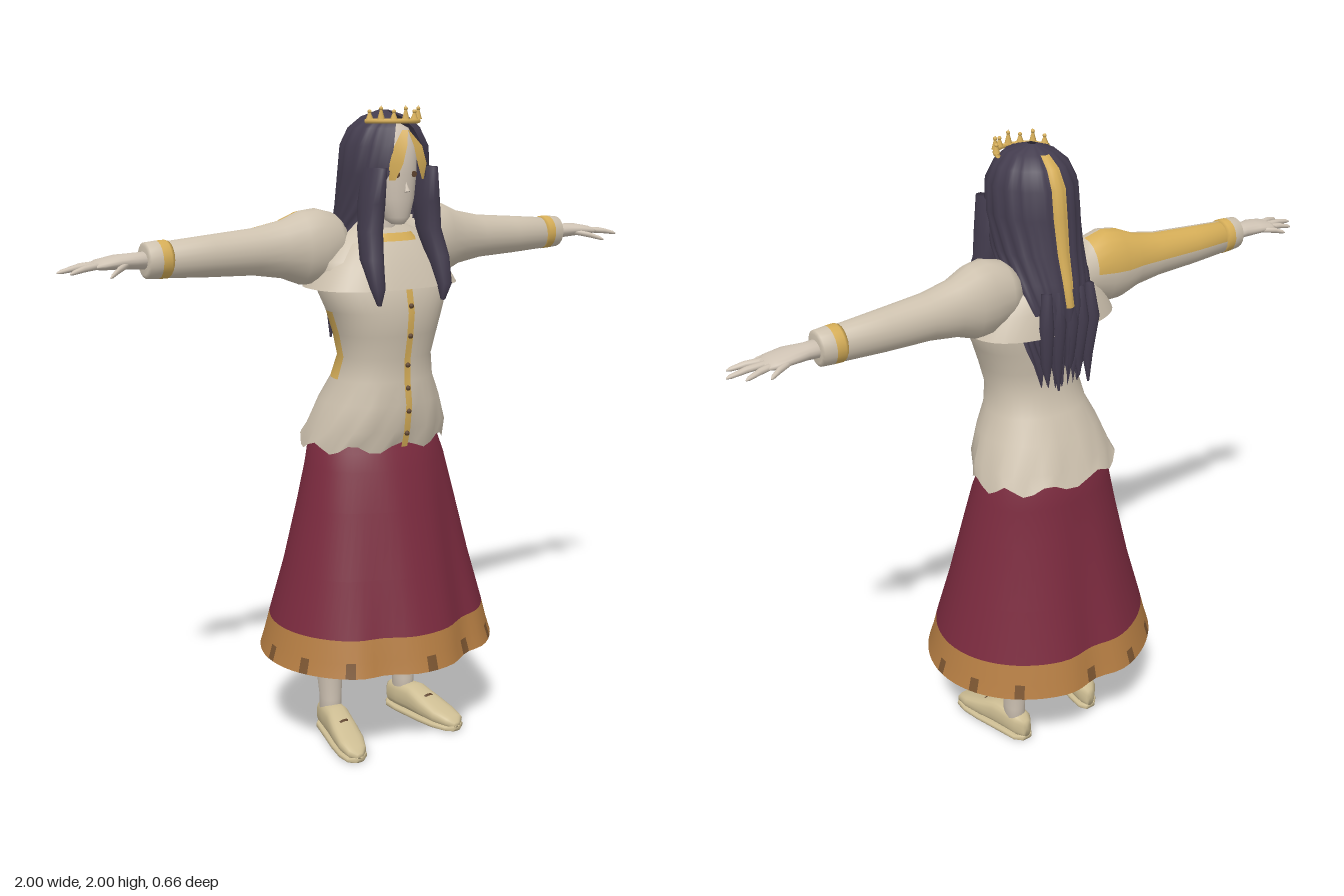
import * as THREE from 'three';

const mat = (name, color, side = THREE.FrontSide) => {
  const m = new THREE.MeshStandardMaterial({ color, side });
  m.name = name;
  return m;
};
const D = THREE.DoubleSide;

export function createModel() {
  const cream = mat('cream cloth', 0xcdc1ae, D), skin = mat('skin', 0xcfc3b4);
  const gold = mat('gold', 0xd6ae58, D), maroon = mat('maroon', 0x7a2a3e, D);
  const ochre = mat('ochre hem', 0xb37c42, D), umber = mat('dark hem', 0x7a5430, D);
  const hairMat = mat('dark hair', 0x433c4e, D), shoeMat = mat('shoe leather', 0xcdbd93);
  const brown = mat('brown', 0x5f452f, D);
  const model = new THREE.Group();
  const put = (name, geo, m, x = 0, y = 0, z = 0) => {
    const o = new THREE.Mesh(geo, m);
    o.name = name;
    o.position.set(x, y, z);
    model.add(o);
    return o;
  };

  // Skins a stack of rings; pick(row, column) chooses the material of a face
  function loft(name, rows, mats, { closed = true, cap = true, flip = false, pick = () => 0 } = {}) {
    mats = [mats].flat();
    const n = rows[0].length, pos = [], faces = mats.map(() => []);
    rows.forEach(r => r.forEach(p => pos.push(...p)));
    const tri = (k, a, b, c) => faces[k].push(a, ...(flip ? [c, b] : [b, c]));
    for (let i = 0; i < rows.length - 1; i++)
      for (let j = 0; j < (closed ? n : n - 1); j++) {
        const a = i * n + j, b = i * n + (j + 1) % n, k = pick(i, j);
        tri(k, a, a + n, b);
        tri(k, b, a + n, b + n);
      }
    if (closed && cap) [0, rows.length - 1].forEach((i, end) => {
      const c = pos.length / 3;
      pos.push(...[0, 1, 2].map(d => rows[i].reduce((s, p) => s + p[d], 0) / n));
      for (let j = 0; j < n; j++) {
        const a = i * n + j, b = i * n + (j + 1) % n;
        end ? tri(0, a, c, b) : tri(0, a, b, c);
      }
    });
    const g = new THREE.BufferGeometry();
    g.setAttribute('position', new THREE.Float32BufferAttribute(pos, 3));
    g.setIndex(faces.flat());
    let start = 0;
    faces.forEach((f, k) => { g.addGroup(start, f.length, k); start += f.length; });
    g.computeVertexNormals();
    return put(name, g, mats.length > 1 ? mats : mats[0]);
  }
  const ring = (n, f) => Array.from({ length: n }, (_, j) => f(j / n * Math.PI * 2));
  const soft = (v, e) => Math.sign(v) * Math.abs(v) ** e;
  // Horizontal ring spanning zb..zf, and rings across x and z
  const ringY = ([y, rx, zf, zb, cx = 0], n = 32, e = 0.9) => ring(n, a =>
    [cx + rx * soft(Math.cos(a), e), y, (zf + zb) / 2 + (zf - zb) / 2 * soft(Math.sin(a), e)]);
  const ringX = (s, [x, cy, cz, ry, rz], n = 20) => ring(n, a =>
    [s * x, cy + ry * Math.sin(a), cz + rz * Math.cos(a)]);

  // Jacket with a ragged hem and a gold patch on the right waist
  const jacket = [[0.985, 0.235, 0.14, -0.205], [1.04, 0.222, 0.155, -0.185], [1.12, 0.192, 0.165, -0.155],
    [1.19, 0.16, 0.155, -0.115], [1.26, 0.148, 0.155, -0.085], [1.33, 0.165, 0.168, -0.09],
    [1.4, 0.188, 0.175, -0.1], [1.47, 0.22, 0.162, -0.105], [1.55, 0.215, 0.125, -0.105],
    [1.62, 0.16, 0.08, -0.1], [1.66, 0.06, 0.04, -0.07]];
  const jacketRows = jacket.map(r => ringY(r, 40));
  jacketRows[0].forEach((p, j) => { p[1] += 0.015 * Math.sin(j * 1.4) + (p[2] < -0.1 ? 0.01 : 0); });
  jacketRows[1].forEach((p, j) => { p[0] *= 1 + 0.02 * Math.sin(j * 1.9); p[2] += 0.006 * Math.sin(j * 1.9); });
  loft('jacket', jacketRows, [cream, gold], { cap: false, pick: (i, j) => (i > 2 && i < 6 && j > 19 && j < 23 ? 1 : 0) });

  // Button placket
  loft('placket', jacket.slice(0, 8).map(([y, , z]) => [[0.011, y, z + 0.004], [-0.011, y, z + 0.004]]), gold, { closed: false });
  [[1.03, 0.158], [1.1, 0.167], [1.17, 0.162], [1.24, 0.16], [1.33, 0.173], [1.42, 0.176]].forEach(([y, z]) =>
    put('button', new THREE.SphereGeometry(0.008, 10, 8), brown, 0, y, z));

  // Wide collar with a gold neckline
  loft('collar', [[1.47, 0.245, 0.178, -0.15], [1.54, 0.205, 0.15, -0.135], [1.6, 0.15, 0.112, -0.115],
    [1.625, 0.085, 0.09, -0.09]].map(r => ringY(r, 36, 0.8)), cream, { cap: false });
  loft('neckline', [[1.605, 0.105, 0.112, -0.1], [1.628, 0.086, 0.096, -0.094]].map(r => ringY(r, 36, 0.7)), gold, { cap: false });

  // Skirt with a pinched front and back, and a coloured hem
  const skirtRows = [[0.32, 0.388, 0.33, -0.345], [0.365, 0.374, 0.316, -0.332], [0.43, 0.357, 0.3, -0.315],
    [0.6, 0.31, 0.25, -0.265], [0.8, 0.262, 0.2, -0.22], [0.92, 0.235, 0.165, -0.195],
    [0.97, 0.222, 0.145, -0.192], [1.04, 0.2, 0.115, -0.165]].map(r => {
    const t = Math.max(0, (1 - r[0]) / 0.68);
    return ringY(r, 72, 1).map(([x, y, z]) => [x, y, z + t * (z > 0
      ? -0.028 * Math.exp(-(((Math.abs(x) - 0.15) / 0.06) ** 2))
      : 0.03 * Math.exp(-((x / 0.07) ** 2)))]);
  });
  loft('skirt', skirtRows, [maroon, ochre, umber],
    { cap: false, pick: (i, j) => (i > 1 ? 0 : i === 0 && (j * 7) % 18 < 3 ? 2 : 1) });

  // Head, neck and face
  loft('head', [[1.655, 0.018, 0.125, 0.085], [1.675, 0.04, 0.138, 0.04], [1.73, 0.064, 0.145, -0.03], [1.8, 0.076, 0.148, -0.06],
    [1.88, 0.08, 0.147, -0.06], [1.93, 0.06, 0.115, -0.03], [1.95, 0.02, 0.08, 0.01]].map(r => ringY(r)), skin);
  loft('neck', [[1.58, 0.062, 0.07, -0.06], [1.64, 0.045, 0.06, -0.04], [1.72, 0.042, 0.07, -0.03]].map(r => ringY(r)), skin);
  const nose = put('nose', new THREE.ConeGeometry(0.009, 0.03, 8), skin, 0, 1.765, 0.15);
  nose.rotation.x = -0.25;

  // Hair shell, open at the face, with a gold streak down the back
  const cols = 56;
  const hairRows = [[1.33, 0.1, 0.05, -0.14, 2.3], [1.42, 0.13, 0.05, -0.152, 2.1], [1.55, 0.14, 0.08, -0.16, 1.7],
    [1.62, 0.135, 0.11, -0.147, 1.3], [1.7, 0.13, 0.145, -0.127, 0.85], [1.8, 0.132, 0.168, -0.112, 0.5],
    [1.88, 0.128, 0.165, -0.102, 0.4], [1.93, 0.105, 0.14, -0.075, 0.3], [1.962, 0.068, 0.108, -0.035, 0.12],
    [1.982, 0.012, 0.045, 0.015, 0]].map(([y, rx, zf, zb, g], i) => Array.from({ length: cols + 1 }, (_, j) => {
    const a = Math.PI / 2 + g + (2 * Math.PI - 2 * g) * j / cols, k = 1 + 0.025 * Math.cos(j * Math.PI / 2);
    return [rx * k * Math.cos(a), y + (i ? 0 : 0.035 * Math.sin(j * 0.9)), (zf + zb) / 2 + (zf - zb) / 2 * k * Math.sin(a)];
  }));
  loft('hair', hairRows, [hairMat, gold],
    { closed: false, pick: (i, j) => (i > 1 && i < 8 && j > 25 && j < 30 ? 1 : 0) });
  [-0.08, -0.045, -0.01, 0.03, 0.07].forEach((x, i) =>
    loft('back strand', [[1.29 + 0.03 * (i % 3), 0.003, -0.14, -0.146, x], [1.38, 0.016, -0.12, -0.152, x],
      [1.5, 0.022, -0.125, -0.165, x * 1.1], [1.6, 0.015, -0.12, -0.15, x]].map(r => ringY(r, 10)), hairMat));

  // Crown of small spikes
  const band = put('crown band', new THREE.TorusGeometry(0.088, 0.007, 8, 32, Math.PI * 0.9), gold, 0, 1.95, 0.055);
  band.rotation.set(Math.PI / 2, 0, Math.PI * 0.05);
  for (let i = -3; i <= 3; i++) {
    const a = i * 0.42, h = i % 2 ? 0.028 : 0.04;
    const x = 0.088 * Math.sin(a), z = 0.055 + 0.088 * Math.cos(a);
    put('crown spike', new THREE.ConeGeometry(0.011, h, 6), gold, x, 1.955 + h / 2, z);
    put('crown bead', new THREE.SphereGeometry(0.006, 8, 6), gold, x, 1.957 + h * 0.7, z);
  }

  for (const s of [1, -1]) {
    const flip = s < 0;

    // Gold fringe and eye
    loft('fringe', [[0, 0.012, 1.925, 0.155], [0.012, 0.05, 1.88, 0.168], [0.026, 0.066, 1.83, 0.168], [0.047, 0.062, 1.785, 0.16]]
      .map(([a, b, y, z]) => [[s * a, y, z], [s * b, y, z - 0.012]]), gold, { closed: false, flip: !flip });
    const eye = put('eye', new THREE.CylinderGeometry(0.009, 0.009, 0.006, 12), brown, s * 0.03, 1.8, 0.143);
    eye.rotation.x = Math.PI / 2;

    // Front lock
    loft('front lock', [[1.43, 0.006, 0.185, 0.17, s * 0.115], [1.48, 0.022, 0.2, 0.155, s * 0.12], [1.56, 0.03, 0.185, 0.1, s * 0.118],
      [1.64, 0.032, 0.16, 0.07, s * 0.105], [1.72, 0.032, 0.163, 0.06, s * 0.098], [1.82, 0.025, 0.168, 0.06, s * 0.09]]
      .map(r => ringY(r, 14)), hairMat);

    // Sleeve with a puffed shoulder
    const sleeve = [[0.11, 1.595, -0.03, 0.06, 0.055], [0.15, 1.595, -0.025, 0.092, 0.075], [0.21, 1.59, -0.025, 0.112, 0.082],
      [0.26, 1.588, -0.03, 0.108, 0.08], [0.32, 1.587, -0.035, 0.084, 0.066], [0.41, 1.585, -0.038, 0.068, 0.06],
      [0.55, 1.582, -0.04, 0.06, 0.054], [0.7, 1.58, -0.04, 0.05, 0.045]];
    loft('sleeve', sleeve.map(r => ringX(s, r)), [cream, gold],
      { flip, pick: (i, j) => (flip && i > 0 && j > 4 && j < 10 ? 1 : 0) });
    loft('cuff', [[0.675, 1.582, -0.04, 0.05, 0.046], [0.685, 1.582, -0.04, 0.054, 0.05], [0.71, 1.582, -0.04, 0.053, 0.049],
      [0.745, 1.582, -0.04, 0.05, 0.046], [0.75, 1.582, -0.04, 0.04, 0.038]].map(r => ringX(s, r)), [cream, gold],
      { flip, pick: i => (i < 2 ? 1 : 0) });

    // Hand
    loft('hand', [[0.72, 1.582, -0.04, 0.026, 0.03], [0.78, 1.583, -0.04, 0.023, 0.03], [0.83, 1.584, -0.038, 0.02, 0.045],
      [0.88, 1.58, -0.038, 0.015, 0.046], [0.9, 1.577, -0.038, 0.008, 0.036]].map(r => ringX(s, r, 16)), skin, { flip });
    [[0.84, -0.07, 0.91, -0.105], [0.87, -0.058, 0.965, -0.075], [0.88, -0.04, 1.0, -0.035], [0.88, -0.02, 0.98, 0.008],
      [0.8, -0.02, 0.885, 0.05]].forEach(([x0, z0, x1, z1], i) =>
      loft(i < 4 ? 'finger' : 'thumb', [[0, 0.009, 0.011], [0.55, 0.009, 0.01], [0.9, 0.006, 0.007], [1, 0.002, 0.002]].map(([t, ry, rz]) =>
        ringX(s, [x0 + (x1 - x0) * t, 1.58 - 0.014 * t * t - (i === 4 ? 0.012 * t : 0), z0 + (z1 - z0) * t, ry, rz], 10)), skin, { flip }));

    // Leg
    loft('leg', [[0.05, 0.034, -0.02, -0.105], [0.12, 0.032, -0.022, -0.1], [0.2, 0.038, -0.018, -0.112], [0.32, 0.048, -0.008, -0.122],
      [0.42, 0.05, 0.0, -0.11], [0.55, 0.055, 0.03, -0.085], [0.8, 0.08, 0.07, -0.11], [1.0, 0.09, 0.08, -0.12]]
      .map(([y, r, zf, zb]) => ringY([y, r, zf, zb, s * (y < 0.55 ? 0.145 : 0.11)], 20)), skin);

    // Shoe turned outward, on a flat sole
    const shoe = [[0.182, 0.19, 0.012, 0.03], [0.165, 0.19, 0.034, 0.046], [0.12, 0.181, 0.046, 0.06], [0.06, 0.169, 0.047, 0.082],
      [0.0, 0.157, 0.043, 0.106], [-0.05, 0.147, 0.04, 0.103], [-0.1, 0.14, 0.034, 0.096], [-0.122, 0.136, 0.016, 0.08]];
    loft('shoe', shoe.map(([z, cx, w, h]) => ring(20, a =>
      [s * cx + w * soft(Math.cos(a), 0.75), 0.012 + (h - 0.012) * (0.5 + 0.5 * soft(Math.sin(a), 0.75)), z])), shoeMat);
    loft('sole', shoe.map(([z, cx, w]) => ring(16, a =>
      [s * cx + (w + 0.003) * soft(Math.cos(a), 0.4), 0.009 + 0.009 * soft(Math.sin(a), 0.4), z])), shoeMat);
    loft('shoe seam', [[0.06, 0.169, 0.03, 0.079], [0.052, 0.167, 0.03, 0.083]].map(([z, cx, w, h]) =>
      Array.from({ length: 7 }, (_, j) => [s * cx + w * (1 - j / 3), h + 0.005 - 0.012 * (1 - j / 3) ** 2, z])), brown, { closed: false });
  }
  return model;
}
